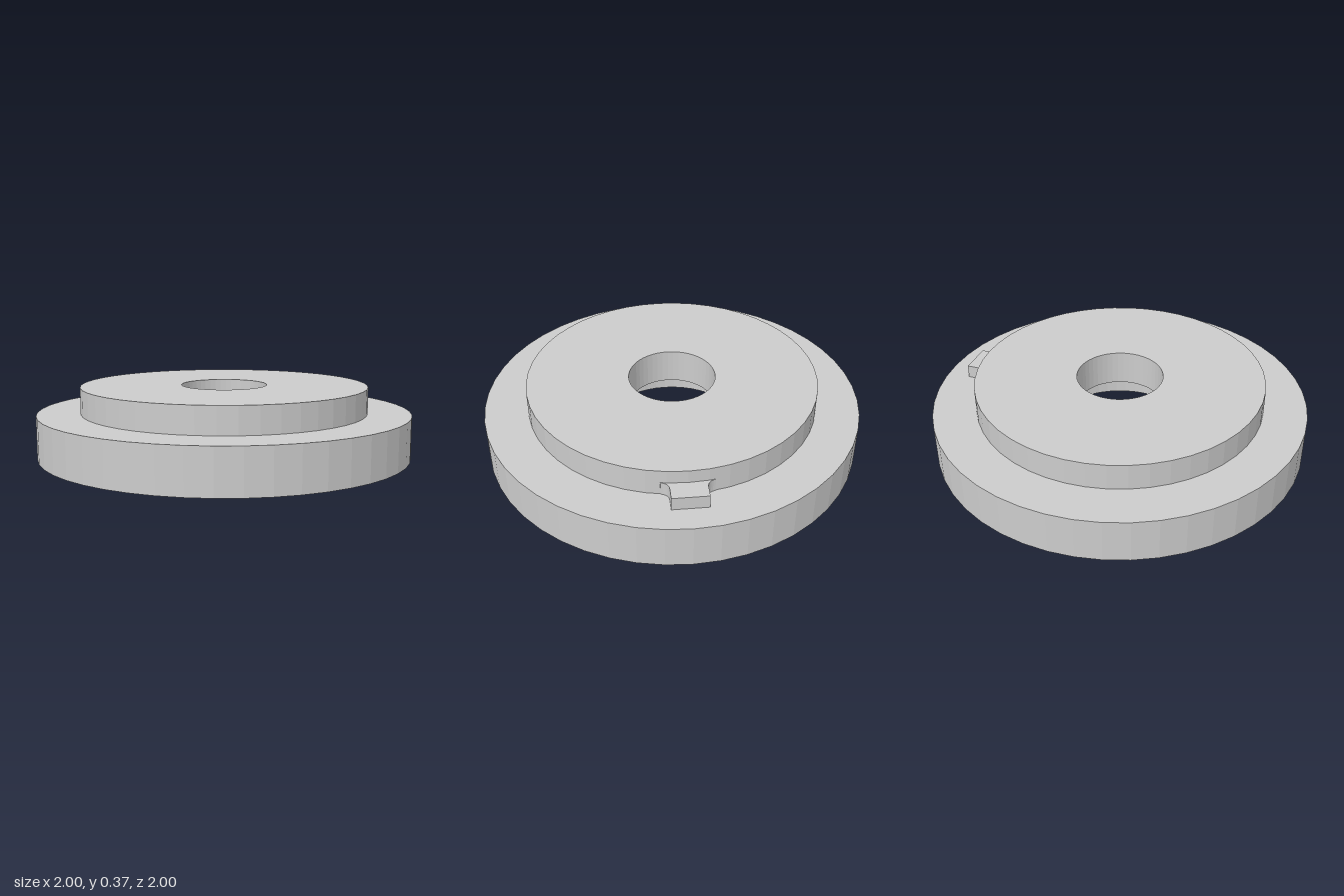
import * as THREE from 'three';

const SEG = 48;
const material = new THREE.MeshStandardMaterial({ color: 0xcccccc, flatShading: true });

function circlePoints(r) {
  return Array.from({ length: SEG }, (_, i) => {
    const a = (i / SEG) * Math.PI * 2;
    return new THREE.Vector2(r * Math.cos(a), r * Math.sin(a));
  });
}

// Rounded slot running along x, counter-clockwise
function slotPoints(cx, half, r, n = 12) {
  const pts = [];
  for (const side of [1, -1]) {
    for (let i = 0; i <= n; i++) {
      const a = -Math.PI / 2 + (i / n) * Math.PI + (side < 0 ? Math.PI : 0);
      pts.push(new THREE.Vector2(cx + side * half + r * Math.cos(a), r * Math.sin(a)));
    }
  }
  return pts;
}

// Flat downward-facing sheet; the shape's y becomes z
function underside(shape, y) {
  return new THREE.ShapeGeometry(shape).rotateX(Math.PI / 2).translate(0, y, 0);
}

// Vertical wall around an outline, facing the inside of the outline
function inwardWall(pts, y0, y1) {
  const pos = [];
  pts.forEach((a, i) => {
    const b = pts[(i + 1) % pts.length];
    pos.push(a.x, y0, a.y, b.x, y0, b.y, b.x, y1, b.y);
    pos.push(a.x, y0, a.y, b.x, y1, b.y, a.x, y1, a.y);
  });
  const g = new THREE.BufferGeometry();
  g.setAttribute('position', new THREE.Float32BufferAttribute(pos, 3));
  g.computeVertexNormals();
  return g;
}

export function createModel() {
  const group = new THREE.Group();
  const add = (name, geometry, mat = material) => {
    const mesh = new THREE.Mesh(geometry, mat);
    mesh.name = name;
    group.add(mesh);
  };

  // Flange, raised collar, through bore and counterbore as one profile
  const profile = [
    [1, 0], [1, 0.23], [0.77, 0.23], [0.77, 0.37],
    [0.23, 0.37], [0.23, 0.18], [0.41, 0.18], [0.41, 0],
  ].map(([x, y]) => new THREE.Vector2(x, y));
  add('steppedDisc', new THREE.LatheGeometry(profile, SEG));

  // Bottom face with counterbore and slot openings
  const slot = slotPoints(0.738, 0.06, 0.105);
  const bottom = new THREE.Shape(circlePoints(1));
  bottom.holes.push(new THREE.Path(circlePoints(0.41)), new THREE.Path(slot));
  add('bottomFace', underside(bottom, 0));

  // Blind slot cut into the underside
  const pocketMaterial = material.clone();
  pocketMaterial.side = THREE.DoubleSide;
  add('slotWall', inwardWall(slot, 0, 0.13), pocketMaterial);
  add('slotCeiling', underside(new THREE.Shape(slot), 0.13));

  // Locating tab on the collar with filleted root
  const tab = new THREE.Shape();
  tab.moveTo(0.72, -0.13);
  tab.lineTo(0.76, -0.13);
  tab.quadraticCurveTo(0.77, -0.09, 0.805, -0.09);
  tab.lineTo(0.87, -0.09);
  tab.lineTo(0.87, 0.09);
  tab.lineTo(0.805, 0.09);
  tab.quadraticCurveTo(0.77, 0.09, 0.76, 0.13);
  tab.lineTo(0.72, 0.13);
  tab.closePath();
  const tabGeometry = new THREE.ExtrudeGeometry(tab, { depth: 0.07, bevelEnabled: false, curveSegments: 6 });
  add('locatingTab', tabGeometry.rotateX(Math.PI / 2).translate(0, 0.3, 0));

  return group;
}
